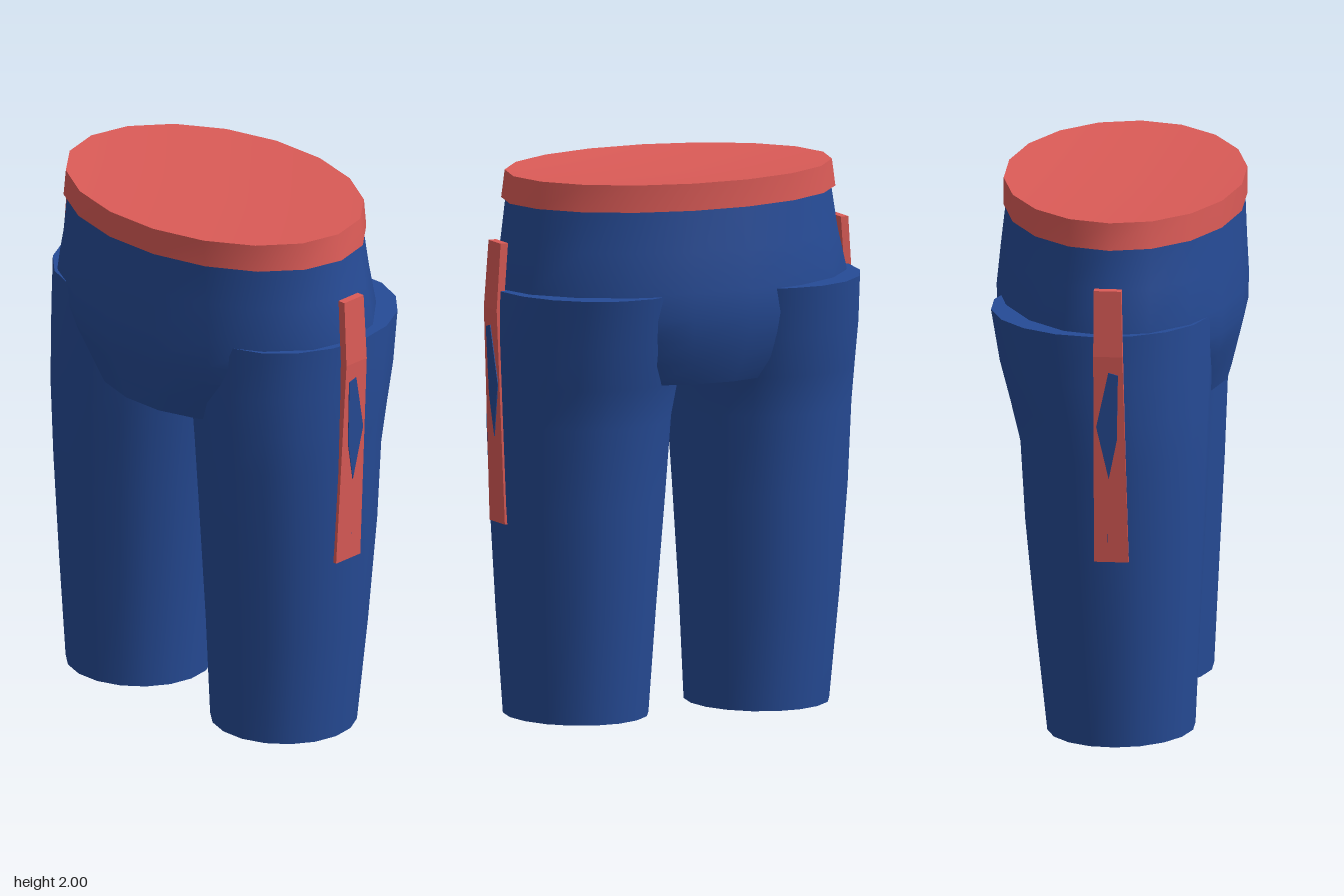
import * as THREE from 'three';

const blue = new THREE.MeshStandardMaterial({ color: 0x264b96 });
blue.name = 'blue cloth';
const red = new THREE.MeshStandardMaterial({ color: 0xdb5b57 });
red.name = 'red trim';

// Smooth tube through oval rings [y, xMin, xMax, zBack, zFront], bottom to top, with separate end caps
function loft(rings, sides, dip = 0, lift = 0) {
  const pos = [], idx = [];
  const point = (r, j) => {
    const [y, x0, x1, zb, zf] = r;
    const t = (j / sides) * Math.PI * 2;
    const s = Math.sin(t);
    const tilt = r === rings[0] ? lift * (s + 1) / 2 : 0;
    return [(x0 + x1) / 2 + Math.cos(t) * (x1 - x0) / 2, y + tilt, (zb + zf) / 2 + s * (zf - zb) / 2];
  };
  rings.forEach((r) => { for (let j = 0; j < sides; j++) pos.push(...point(r, j)); });
  for (let i = 0; i < rings.length - 1; i++) {
    for (let j = 0; j < sides; j++) {
      const k = (j + 1) % sides, a = i * sides;
      idx.push(a + j, a + sides + j, a + k, a + k, a + sides + j, a + sides + k);
    }
  }
  [rings[0], rings[rings.length - 1]].forEach((r, top) => {
    const base = pos.length / 3;
    for (let j = 0; j < sides; j++) pos.push(...point(r, j));
    pos.push((r[1] + r[2]) / 2, r[0] + (top ? -dip : lift / 2), (r[3] + r[4]) / 2);
    for (let j = 0; j < sides; j++) {
      const a = base + j, b = base + (j + 1) % sides;
      idx.push(base + sides, top ? b : a, top ? a : b);
    }
  });
  const g = new THREE.BufferGeometry();
  g.setAttribute('position', new THREE.Float32BufferAttribute(pos, 3));
  g.setIndex(idx);
  g.computeVertexNormals();
  return g;
}

const shapeOf = (points, sx) => new THREE.Shape(points.map(([x, y]) => new THREE.Vector2(x * sx, y)));

// Applies a rule to every vertex
function bend(g, rule) {
  const p = g.attributes.position, v = new THREE.Vector3();
  for (let i = 0; i < p.count; i++) {
    rule(v.fromBufferAttribute(p, i));
    p.setXYZ(i, v.x, v.y, v.z);
  }
  g.computeVertexNormals();
  return g;
}

export function createModel() {
  const model = new THREE.Group();
  const add = (name, geometry, material) => {
    const m = new THREE.Mesh(geometry, material);
    m.name = name;
    model.add(m);
  };

  // Waistband with a slightly sunken top
  add('waistband', loft([
    [1.9, -0.64, 0.64, -0.43, 0.452],
    [2.0, -0.625, 0.625, -0.43, 0.452],
  ], 18, 0.03), red);

  // Hips, rounding under to the crotch
  add('hips', loft([
    [1.25, -0.47, 0.47, -0.37, 0.395],
    [1.33, -0.55, 0.55, -0.41, 0.415],
    [1.42, -0.63, 0.63, -0.435, 0.437],
    [1.5, -0.665, 0.665, -0.452, 0.455],
    [1.6, -0.68, 0.68, -0.455, 0.457],
    [1.75, -0.645, 0.645, -0.44, 0.45],
    [1.91, -0.622, 0.622, -0.422, 0.444],
  ], 18), blue);

  // Tapered legs
  const legRings = [
    [0, 0.1, 0.63, -0.24, 0.3],
    [0.4, 0.078, 0.662, -0.282, 0.318],
    [0.8, 0.05, 0.688, -0.32, 0.338],
    [1.1, 0.028, 0.7, -0.338, 0.35],
    [1.25, 0.008, 0.703, -0.375, 0.355],
    [1.4, -0.01, 0.706, -0.415, 0.36],
    [1.59, -0.02, 0.703, -0.448, 0.363],
  ];
  // Side stripe outline (x, y) and its inset diamond (z, y)
  const stripe = [[0.655, 0.73], [0.685, 0.73], [0.718, 1.52], [0.702, 1.765], [0.672, 1.765], [0.69, 1.52]];
  const diamond = [[0.05, 1.45], [0.015, 1.46], [-0.03, 1.25], [0.015, 1.05], [0.045, 1.2]];

  for (const sx of [1, -1]) {
    const side = sx > 0 ? 'left' : 'right';
    add(side + 'Leg', loft(legRings.map(([y, a, b, zb, zf]) =>
      [y, sx > 0 ? a : -b, sx > 0 ? b : -a, zb, zf]), 18, 0, 0.015), blue);

    // Stripe widens a little toward its lower end
    const strip = new THREE.ExtrudeGeometry(shapeOf(stripe, sx), { depth: 0.1, bevelEnabled: false });
    strip.translate(0, 0, -0.04);
    add(side + 'Stripe', bend(strip, (v) => {
      if (v.z > 0) v.z += 0.025 * (1.765 - v.y);
    }), red);

    // Thin diamond lying on the stripe's slope
    const inset = new THREE.ExtrudeGeometry(shapeOf(diamond, -sx), { depth: 0.006, bevelEnabled: false });
    inset.rotateY(sx * Math.PI / 2);
    add(side + 'Diamond', bend(inset, (v) => {
      v.x += sx * (0.682 + (v.y - 0.73) * 0.0418);
    }), blue);
  }
  return model;
}
